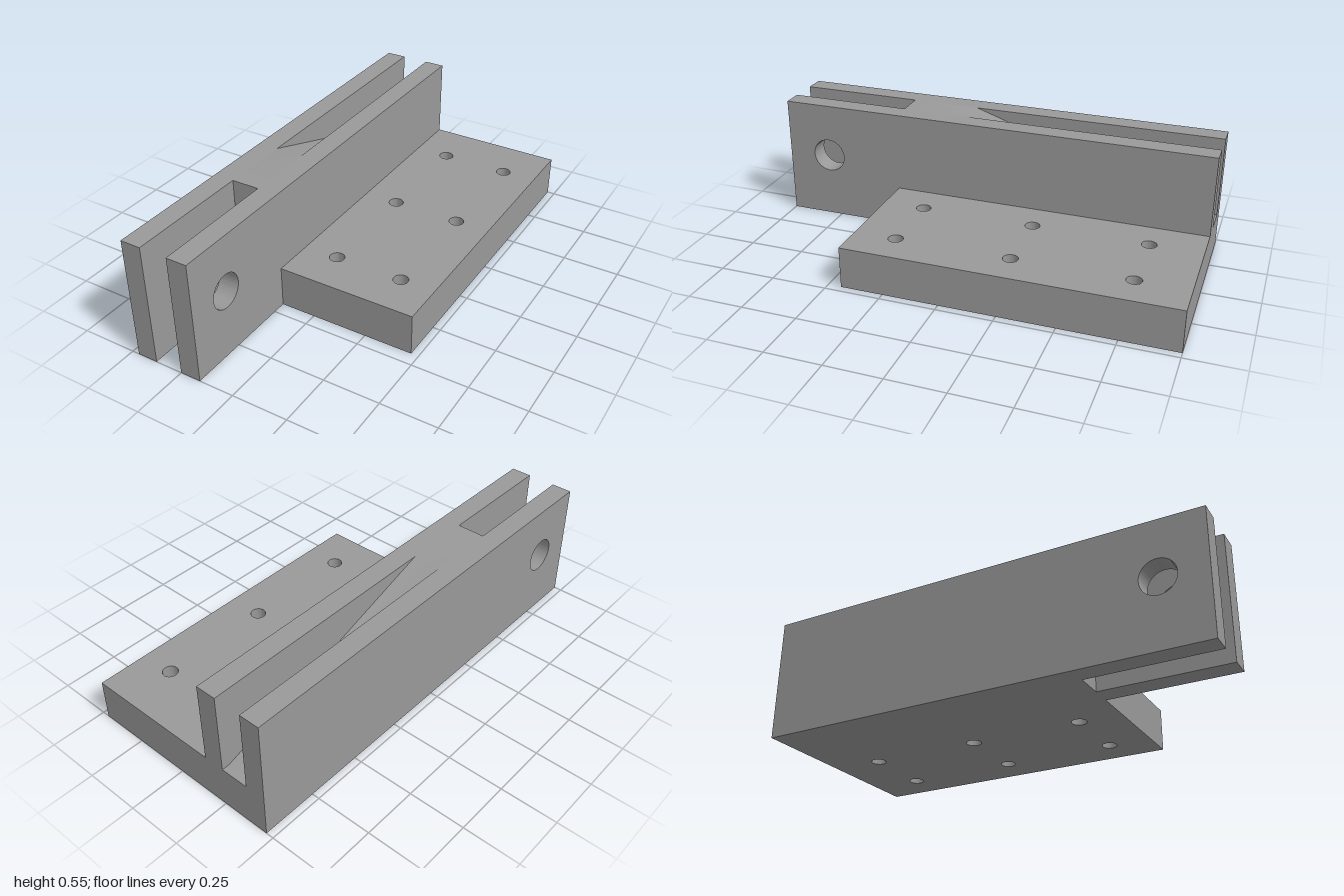
import * as THREE from 'three';
import { toCreasedNormals } from 'three/addons/utils/BufferGeometryUtils.js';

const steel = new THREE.MeshStandardMaterial({ color: 0x999999 });
steel.name = 'plain grey metal';

const outline = (points) => new THREE.Shape(points.map(([a, b]) => new THREE.Vector2(a, b)));

function addHole(shape, a, b, radius) {
  shape.holes.push(new THREE.Path().absarc(a, b, radius, 0, Math.PI * 2, true));
}

function extrude(shape, depth) {
  return new THREE.ExtrudeGeometry(shape, { depth, bevelEnabled: false, curveSegments: 40 });
}

// Side profile in (z, y), extruded across x from x0 to x1
function sidePart(name, shape, x0, x1) {
  const geometry = extrude(shape, x1 - x0).rotateY(-Math.PI / 2).translate(x1, 0, 0);
  const mesh = new THREE.Mesh(toCreasedNormals(geometry, 0.5), steel);
  mesh.name = name;
  return mesh;
}

export function createModel() {
  const model = new THREE.Group();
  model.name = 'mountingBracket';

  const height = 0.55, plateTop = 0.1875, plateFront = 0.44;
  const xOuter = -0.467, xSlot0 = -0.375, xSlot1 = -0.25, xInner = -0.157, xPlate = 0.467;

  // Two upright walls, each with a pivot hole near the front
  for (const [name, x0, x1] of [['outerWall', xOuter, xSlot0], ['innerWall', xSlot1, xInner]]) {
    const wall = outline([[-1, 0], [1, 0], [1, height], [-1, height]]);
    addHole(wall, 0.797, 0.303, 0.077);
    model.add(sidePart(name, wall, x0, x1));
  }

  // Core between the walls: solid block with a ramp falling to the back
  const core = outline([
    [-1, 0], [plateFront, 0], [plateFront, height],
    [0.13, height], [-0.965, plateTop], [-1, plateTop],
  ]);
  model.add(sidePart('rampCore', core, xSlot0, xSlot1));

  // Base plate with two rows of three screw holes
  const plate = outline([[xInner, -1], [xPlate, -1], [xPlate, plateFront], [xInner, plateFront]]);
  for (const x of [0, 0.31]) {
    for (const z of [-0.77, -0.26, 0.25]) addHole(plate, x, z, 0.033);
  }
  const plateGeometry = extrude(plate, plateTop).rotateX(Math.PI / 2).translate(0, plateTop, 0);
  const basePlate = new THREE.Mesh(toCreasedNormals(plateGeometry, 0.5), steel);
  basePlate.name = 'basePlate';
  model.add(basePlate);

  return model;
}
